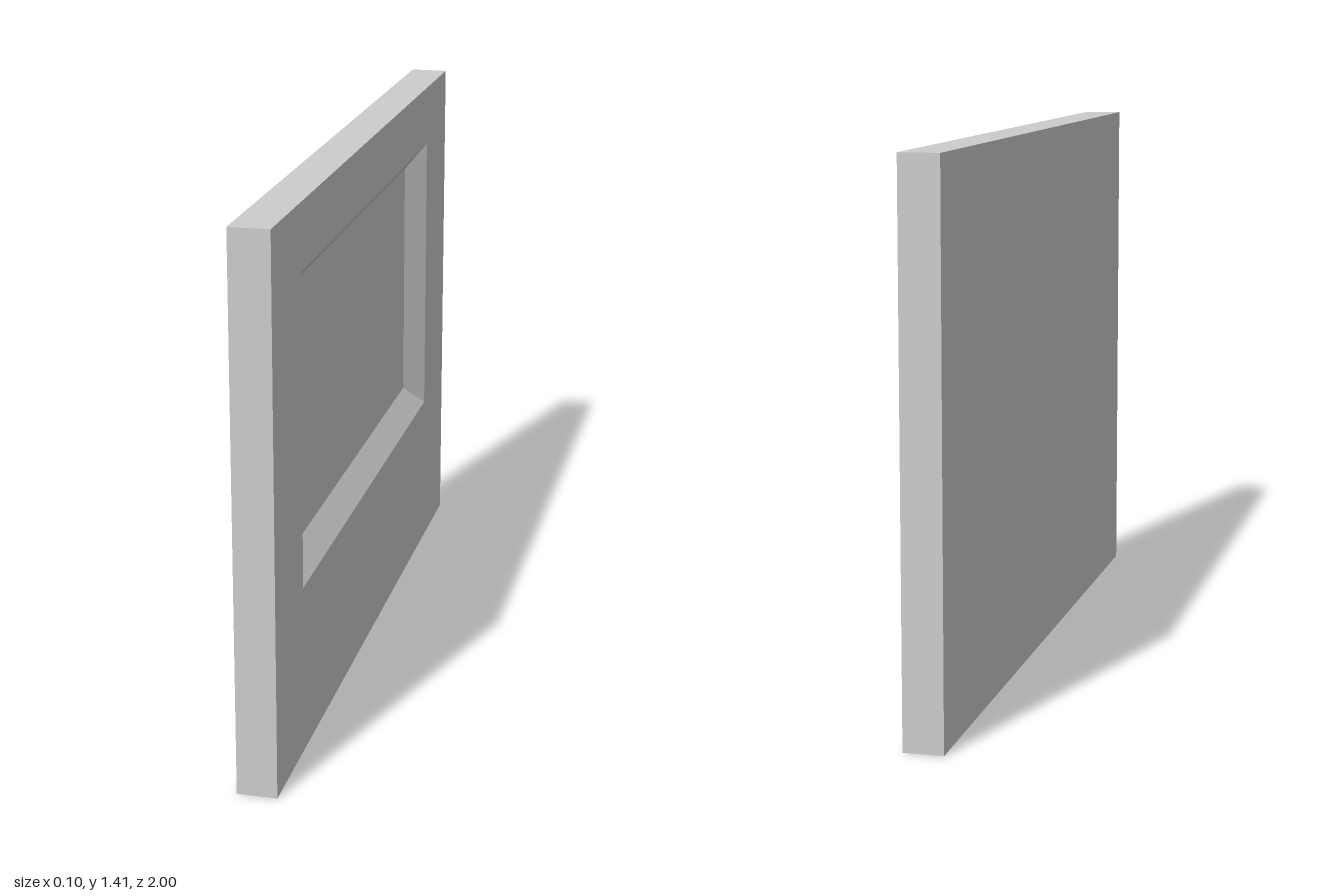
import * as THREE from 'three';

// Rectangle in the y-z plane at depth x, counter-clockwise seen from +x
const ring = (x, zMin, zMax, yMin, yMax) => [
  [x, yMin, zMax], [x, yMin, zMin], [x, yMax, zMin], [x, yMax, zMax],
];

const quad = (out, a, b, c, d) => out.push(...a, ...b, ...c, ...a, ...c, ...d);

// Joins successive rectangles with four quads each
function loft(out, rings) {
  for (let k = 0; k + 1 < rings.length; k++) {
    for (let i = 0; i < 4; i++) {
      const j = (i + 1) % 4;
      quad(out, rings[k][i], rings[k][j], rings[k + 1][j], rings[k + 1][i]);
    }
  }
}

function makeMesh(name, positions, material) {
  const geometry = new THREE.BufferGeometry();
  geometry.setAttribute('position', new THREE.Float32BufferAttribute(positions, 3));
  geometry.computeVertexNormals();
  const mesh = new THREE.Mesh(geometry, material);
  mesh.name = name;
  return mesh;
}

export function createModel() {
  const group = new THREE.Group();
  group.name = 'recessedPanel';
  const grey = new THREE.MeshStandardMaterial({ color: 0xcccccc });
  grey.name = 'light grey';

  const back = ring(-0.051, -1, 1, 0, 1.413);
  const front = ring(0.051, -1, 1, 0, 1.413);
  const opening = ring(0.051, -0.725, 0.742, 0.442, 1.246);
  const floor = ring(0, -0.657, 0.675, 0.506, 1.182);

  // Slab: back, four edges and the border round the opening
  const slab = [];
  quad(slab, ...[...back].reverse());
  loft(slab, [back, front, opening]);
  group.add(makeMesh('slab', slab, grey));

  // Recess: sloping walls and flat floor
  const recess = [];
  loft(recess, [opening, floor]);
  quad(recess, ...floor);
  group.add(makeMesh('recess', recess, grey));

  return group;
}
